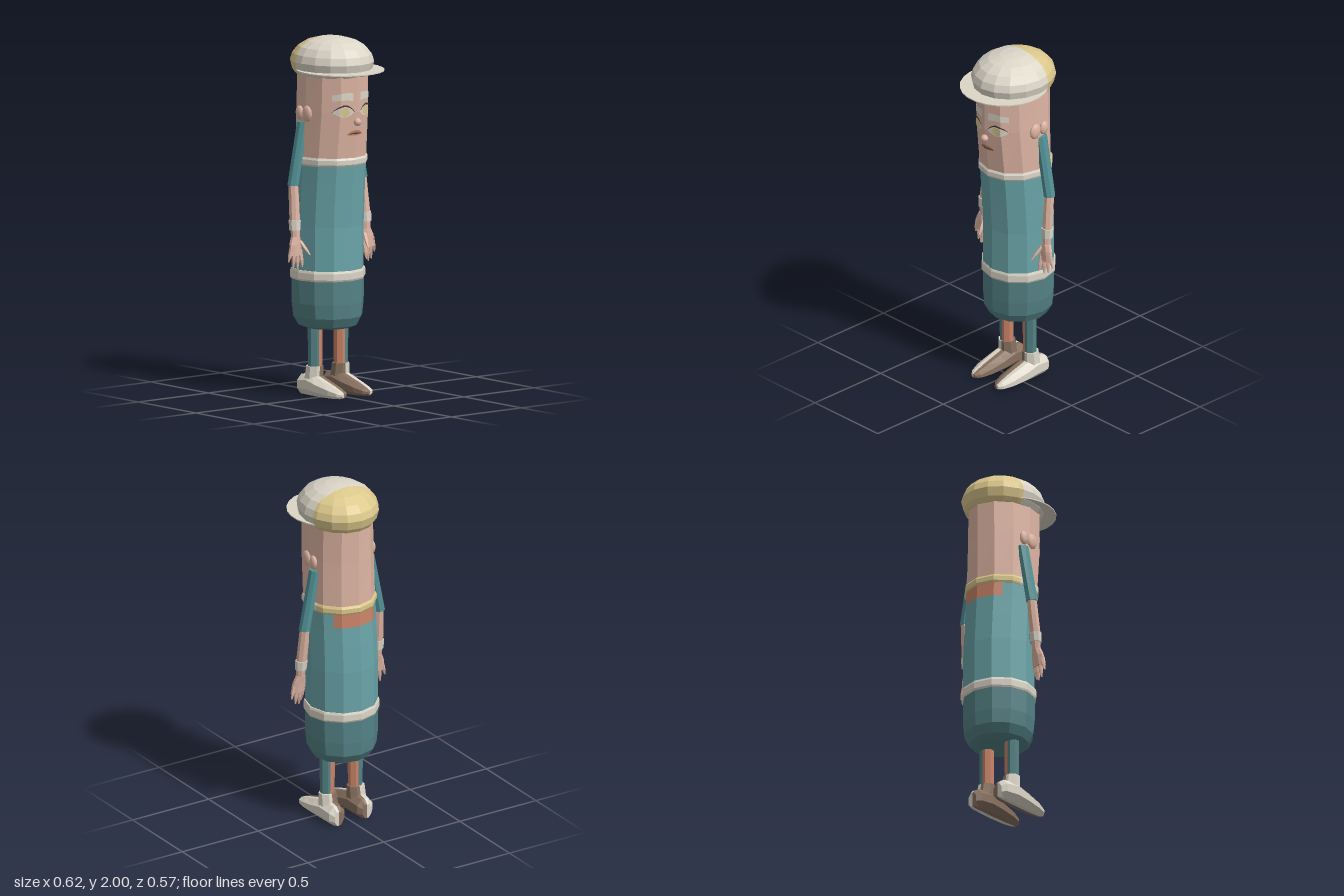
import * as THREE from 'three';

const mat = (name, color) => {
  const m = new THREE.MeshStandardMaterial({ color, side: THREE.DoubleSide });
  m.name = name;
  return m;
};

// Faceted tube through rings [y, cx, cz, rx, rz], listed from low to high, closed at both ends
function loft(rings, n = 12, phase = 0) {
  const pts = rings.map(([y, cx, cz, rx, rz]) => (i) => {
    const a = ((i + phase) / n) * Math.PI * 2;
    return [cx + rx * Math.sin(a), y, cz + rz * Math.cos(a)];
  });
  const pos = [];
  const mid = ([y, cx, cz]) => [cx, y, cz];
  const last = rings.length - 1;
  for (let i = 0; i < n; i++) {
    pos.push(...mid(rings[0]), ...pts[0](i + 1), ...pts[0](i));
    for (let k = 0; k < last; k++) {
      const a = pts[k](i), b = pts[k](i + 1), c = pts[k + 1](i + 1), d = pts[k + 1](i);
      pos.push(...a, ...b, ...c, ...a, ...c, ...d);
    }
    pos.push(...mid(rings[last]), ...pts[last](i), ...pts[last](i + 1));
  }
  return fromPositions(pos);
}

function fromPositions(pos) {
  const g = new THREE.BufferGeometry();
  g.setAttribute('position', new THREE.Float32BufferAttribute(pos, 3));
  g.computeVertexNormals();
  return g;
}

// Keeps the part of a geometry where side * (coordinate - value) > 0
function clip(geo, axis, value, side) {
  const p = geo.attributes.position.array, out = [];
  for (let t = 0; t < p.length; t += 9) {
    const tri = [0, 3, 6].map((o) => [p[t + o], p[t + o + 1], p[t + o + 2]]);
    const poly = [];
    tri.forEach((a, i) => {
      const b = tri[(i + 1) % 3];
      const da = side * (a[axis] - value), db = side * (b[axis] - value);
      if (da >= 0) poly.push(a);
      if (da * db < 0) poly.push(a.map((v, j) => v + (b[j] - v) * (da / (da - db))));
    });
    for (let i = 2; i < poly.length; i++) out.push(...poly[0], ...poly[i - 1], ...poly[i]);
  }
  return fromPositions(out);
}

// Front of the twelve-sided head
function headZ(x, y) {
  const t = Math.min(1, (y - 1.34) / 0.26), s = Math.abs(x) / 0.193;
  const f = s < 0.5 ? 1 - s * 0.268 : 1.366 - s;
  return -0.0475 + 0.015 * t + (0.2025 + 0.015 * t) * f;
}

// Thin painted plate on the face between two curves of u in -1..1
function facePlate(cx, cy, half, top, bottom, lift) {
  const pos = [], n = 12;
  const at = (i, f) => {
    const u = (i / n) * 2 - 1, x = cx + u * half, y = cy + f(u);
    return [x, y, headZ(x, y) + lift];
  };
  for (let i = 0; i < n; i++) {
    const a = at(i, bottom), b = at(i + 1, bottom), c = at(i + 1, top), d = at(i, top);
    pos.push(...a, ...b, ...c, ...a, ...c, ...d);
  }
  return fromPositions(pos);
}

export function createModel() {
  const root = new THREE.Group();
  root.name = 'figure';
  const cream = mat('cream', 0xdcd6c8), yellow = mat('straw yellow', 0xdcc88c);
  const skin = mat('skin', 0xdeb5a3), shirt = mat('shirt teal', 0x6aa5a9);
  const shorts = mat('dark teal', 0x548286), sleeve = mat('sleeve teal', 0x529196);
  const orange = mat('terracotta', 0xc98468), brown = mat('brown', 0x87705f);
  const dark = mat('dark line', 0x4a3535), purple = mat('purple', 0x7d72ae);
  const add = (name, geo, m, parent = root) => {
    const mesh = new THREE.Mesh(geo, m);
    mesh.name = name;
    parent.add(mesh);
    return mesh;
  };

  // Body
  add('shorts', loft([
    [0.375, 0, -0.07, 0.13, 0.13], [0.39, 0, -0.07, 0.165, 0.165],
    [0.44, 0, -0.073, 0.192, 0.195], [0.52, 0, -0.073, 0.202, 0.2],
    [0.66, 0, -0.073, 0.204, 0.2]]), shorts);
  add('belt', loft([
    [0.65, 0, -0.073, 0.207, 0.203], [0.66, 0, -0.073, 0.211, 0.208],
    [0.695, 0, -0.073, 0.211, 0.208], [0.708, 0, -0.073, 0.207, 0.203]]), cream);
  const torso = loft([
    [0.7, 0, -0.073, 0.2, 0.202], [0.95, 0, -0.073, 0.2, 0.202],
    [1.1, 0, -0.064, 0.199, 0.202], [1.2, 0, -0.057, 0.198, 0.202],
    [1.31, 0, -0.05, 0.198, 0.204]]);
  const upper = clip(torso, 1, 1.215, 1);
  add('shirt', clip(torso, 1, 1.215, -1), shirt);
  add('shirtChest', clip(upper, 2, -0.195, 1), shirt);
  add('backPatch', clip(upper, 2, -0.195, -1), orange);
  const collar = loft([
    [1.295, 0, -0.05, 0.201, 0.208], [1.305, 0, -0.05, 0.205, 0.214],
    [1.33, 0, -0.05, 0.205, 0.214], [1.342, 0, -0.05, 0.2, 0.206]]);
  add('collarFront', clip(collar, 2, -0.11, 1), cream);
  add('collarBack', clip(collar, 2, -0.11, -1), yellow);

  // Head
  add('head', loft([
    [1.33, 0, -0.0475, 0.197, 0.2025], [1.6, 0, -0.0325, 0.192, 0.2175],
    [1.83, 0, -0.03, 0.188, 0.22]]), skin);
  const nose = add('nose', new THREE.IcosahedronGeometry(0.022, 1), skin);
  nose.position.set(0, 1.545, headZ(0, 1.545) + 0.008);
  add('mouth', facePlate(0, 1.485, 0.052, (u) => 0.022 * (1 - u * u) - 0.008,
    (u) => -0.004 * (1 - u * u) - 0.012, 0.004), orange);
  add('mouthLine', facePlate(0, 1.485, 0.046, (u) => 0.008 * (1 - u * u) - 0.008,
    (u) => 0.002 * (1 - u * u) - 0.009, 0.006), dark);

  // Cap and brim, straw coloured at the back
  const cap = loft([
    [1.79, 0, -0.035, 0.19, 0.22], [1.815, 0, -0.035, 0.208, 0.237],
    [1.865, 0, -0.035, 0.22, 0.25], [1.905, 0, -0.035, 0.208, 0.237],
    [1.945, 0, -0.035, 0.178, 0.203], [1.975, 0, -0.035, 0.13, 0.15],
    [1.993, 0, -0.035, 0.068, 0.08], [2, 0, -0.035, 0.001, 0.001]], 16);
  const brim = loft([[1.817, 0, 0.035, 0.243, 0.25], [1.823, 0, 0.035, 0.243, 0.25]], 24, 0.5);
  for (const [name, geo] of [['cap', cap], ['brim', brim]]) {
    add(name + 'Front', clip(geo, 2, -0.1, 1), cream);
    add(name + 'Back', clip(geo, 2, -0.1, -1), yellow);
  }

  for (const s of [1, -1]) {
    const label = s > 0 ? 'left' : 'right';
    const side = new THREE.Group();
    side.name = label + 'Side';
    root.add(side);
    const put = (name, geo, m) => add(label + name, geo, m, side);

    // Eye, lash and brow
    const arc = (h) => (u) => h * (1 - u * u);
    put('Eye', facePlate(s * 0.075, 1.6, 0.055, arc(0.036), arc(-0.026), 0.003), cream);
    put('Iris', facePlate(s * 0.072, 1.603, 0.025,
      (u) => 0.025 * Math.sqrt(1 - u * u), (u) => -0.025 * Math.sqrt(1 - u * u), 0.005), yellow);
    put('Lash', facePlate(s * 0.075, 1.6, 0.059, arc(0.044), arc(0.034), 0.007), dark);
    put('Brow', facePlate(s * 0.077, 1.685, 0.053,
      (u) => 0.025 - 0.012 * Math.max(0, u * s), (u) => -0.022 + 0.006 * (1 - u * u), 0.004), cream);

    // Ear made of two flattened lobes
    [[-0.018, 0.038, 0.046], [-0.083, 0.03, 0.04]].forEach(([z, r, h], i) => {
      const lobe = put('EarLobe' + (i + 1), new THREE.SphereGeometry(1, 10, 6), skin);
      lobe.scale.set(0.017, h, r);
      lobe.position.set(s * 0.192, 1.585, z);
    });

    // Arm
    put('Sleeve', loft([
      [1.185, s * 0.245, -0.075, 0.033, 0.034], [1.535, s * 0.178, -0.075, 0.03, 0.036]], 8, 0.5), sleeve);
    put('Forearm', loft([
      [0.89, s * 0.252, -0.045, 0.025, 0.022], [1.0, s * 0.25, -0.055, 0.031, 0.029],
      [1.1, s * 0.246, -0.066, 0.03, 0.03], [1.195, s * 0.244, -0.075, 0.027, 0.029]], 8, 0.5), skin);
    const band = loft([[0.94, s * 0.252, -0.05, 0.034, 0.031], [0.995, s * 0.25, -0.054, 0.037, 0.034]], 8, 0.5);
    put('Bracelet', clip(band, 0, s * 0.225, s), cream);
    put('BraceletInner', clip(band, 0, s * 0.225, -s), purple);
    put('Palm', loft([
      [0.8, s * 0.26, -0.035, 0.04, 0.018], [0.86, s * 0.257, -0.04, 0.04, 0.022],
      [0.9, s * 0.252, -0.046, 0.028, 0.024]], 8, 0.5), skin);
    // Fingers: root x, tip x, tip y, tip z, root y
    [[0.228, 0.228, 0.735, -0.015, 0.83], [0.25, 0.252, 0.72, -0.028, 0.83],
      [0.271, 0.278, 0.73, -0.034, 0.83], [0.286, 0.306, 0.765, -0.04, 0.85],
      [0.23, 0.208, 0.805, 0.025, 0.88]].forEach(([x, tx, ty, tz, y], i) => {
      put('Finger' + (i + 1), loft([
        [ty, s * tx, tz, 0.004, 0.005],
        [ty + (y - ty) * 0.4, s * (x * 0.4 + tx * 0.6), tz * 0.6 - 0.014, 0.011, 0.012],
        [y, s * x, -0.036, 0.012, 0.014]], 6), skin);
    });

    // Leg and shoe, a different colour on the inner half
    const leg = loft([[0.13, s * 0.092, -0.07, 0.042, 0.037], [0.4, s * 0.092, -0.07, 0.045, 0.038]], 8, 0.5);
    const cuff = loft([
      [0.09, s * 0.092, -0.08, 0.056, 0.054], [0.165, s * 0.092, -0.073, 0.051, 0.047]], 8, 0.5);
    const k = 1 / Math.cos(Math.PI / 8);
    const shoe = loft([
      [-0.19, 0.028, 0.004, 0.085], [-0.165, 0.05, 0, 0.11], [-0.08, 0.06, 0, 0.125],
      [0, 0.062, 0, 0.1], [0.1, 0.053, 0.002, 0.07], [0.16, 0.036, 0.006, 0.048],
      [0.182, 0.015, 0.014, 0.036]].map(([z, w, lo, hi]) =>
      [z, s * 0.092, -(lo + hi) / 2, w * k, ((hi - lo) / 2) * k]), 8, 0.5);
    shoe.rotateX(Math.PI / 2);
    for (const [name, geo, outer, inner] of [
      ['Leg', leg, shorts, orange], ['ShoeCuff', cuff, cream, brown], ['Shoe', shoe, cream, brown]]) {
      put(name + 'Outer', clip(geo, 0, s * 0.092, s), outer);
      put(name + 'Inner', clip(geo, 0, s * 0.092, -s), inner);
    }
  }
  return root;
}
